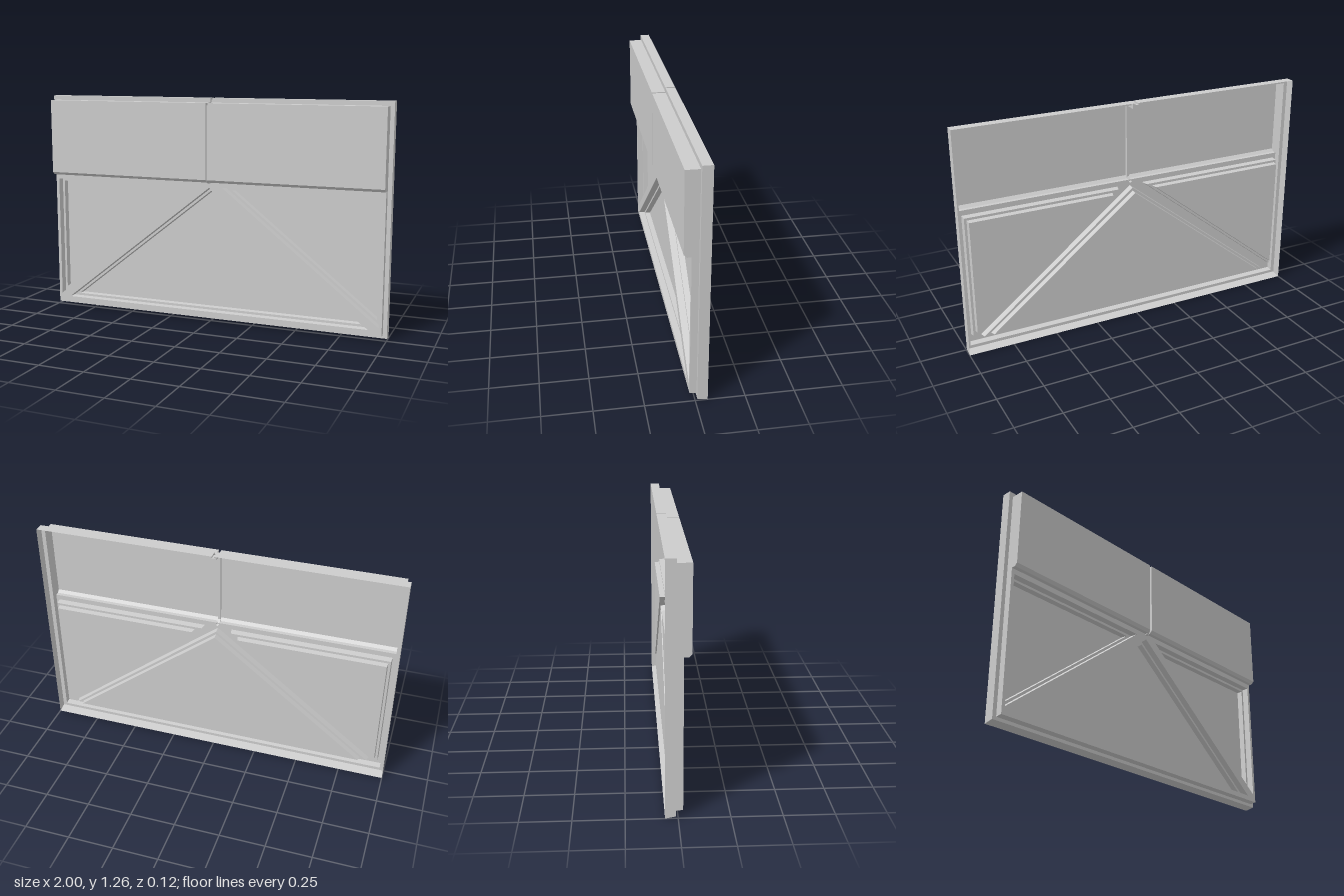
import * as THREE from 'three';

const material = new THREE.MeshStandardMaterial({ color: 0xcccccc, side: THREE.DoubleSide });

// Levels of the pressed sheet, back to front
const BACK = -0.062, FLOOR = -0.04, LEDGE = -0.01, FACE = 0.025, FRONT = 0.062;
const OUT = 1, IN = 0.978, GAP = 0.007;

export function createModel() {
  const group = new THREE.Group();

  function add(name, geometry) {
    const mesh = new THREE.Mesh(geometry, material);
    mesh.name = name;
    group.add(mesh);
    return mesh;
  }

  // Strip of flat quads joining two rows of [x, y, z] points
  function strip(name, a, b) {
    const pos = [];
    for (let i = 0; i < a.length - 1; i++) {
      pos.push(...a[i], ...b[i], ...b[i + 1], ...a[i], ...b[i + 1], ...a[i + 1]);
    }
    const g = new THREE.BufferGeometry();
    g.setAttribute('position', new THREE.Float32BufferAttribute(pos, 3));
    g.computeVertexNormals();
    return add(name, g);
  }

  // Sweep a [y, z] profile along x
  const at = (profile, x) => profile.map(([y, z]) => [x, y, z]);
  const sweep = (name, profile, x0, x1) => strip(name, at(profile, x0), at(profile, x1));

  const shapeOf = pts => new THREE.Shape(pts.map(p => new THREE.Vector2(...p)));
  function plate(name, pts, z, holes = []) {
    const shape = shapeOf(pts);
    shape.holes = holes.map(shapeOf);
    add(name, new THREE.ShapeGeometry(shape)).position.z = z;
  }

  // Move every edge of a counter-clockwise polygon inward by d
  function inset(pts, d) {
    const n = pts.length;
    return pts.map((p, i) => {
      const a = pts[(i + n - 1) % n], b = pts[(i + 1) % n];
      const u = new THREE.Vector2(p[0] - a[0], p[1] - a[1]).normalize();
      const v = new THREE.Vector2(b[0] - p[0], b[1] - p[1]).normalize();
      const k = d / u.cross(v);
      return [p[0] + (v.x - u.x) * k, p[1] + (v.y - u.y) * k];
    });
  }

  // Top skirt and projecting upper panel, in two halves
  const topSkirt = [[1.26, BACK], [1.26, LEDGE], [1.235, LEDGE]];
  const upper = [[1.235, LEDGE], [1.235, FRONT], [0.815, FRONT], [0.8, 0.047], [0.8, FACE]];
  for (const s of [-1, 1]) {
    sweep('topSkirt', topSkirt, s * GAP, s * OUT);
    sweep('upperPanel', upper, s * GAP, s * IN);
  }

  // Groove dividing the upper panel, ending in a small tab behind the frame
  const lip = [...topSkirt, ...upper.slice(1)];
  const floor = [[1.25, BACK], [1.25, -0.025], [1.22, -0.025], [1.22, 0.047],
    [0.812, 0.047], [0.795, 0.033], [0.788, 0.012]];
  sweep('grooveFloor', floor, -GAP, GAP);
  for (const s of [-1, 1]) strip('grooveWall', at(lip, s * GAP), at(floor, s * GAP));

  // Bottom skirt and lower edge of the frame
  sweep('bottomSkirt', [[0, BACK], [0.01, LEDGE], [0.027, LEDGE]], -OUT, OUT);
  sweep('frameBottomEdge', [[0.027, LEDGE], [0.031, FACE]], -IN, IN);

  // Side skirts, ledges and raised side walls
  for (const s of [-1, 1]) {
    strip('sideSkirt', [[s * OUT, 0, BACK], [s * OUT, 1.26, BACK]],
      [[s * OUT, 0.01, LEDGE], [s * OUT, 1.26, LEDGE]]);
    strip('sideLedge', [[s * OUT, 0.027, LEDGE], [s * OUT, 1.235, LEDGE]],
      [[s * IN, 0.027, LEDGE], [s * IN, 1.235, LEDGE]]);
    strip('lowerSideWall', [[s * IN, 0.027, LEDGE], [s * IN, 0.8, LEDGE]],
      [[s * IN, 0.031, FACE], [s * IN, 0.8, FACE]]);
    strip('upperSideWall',
      [[s * IN, 0.8, LEDGE], [s * IN, 0.815, LEDGE], [s * IN, 1.235, LEDGE]],
      [[s * IN, 0.8, 0.047], [s * IN, 0.815, FRONT], [s * IN, 1.235, FRONT]]);
  }

  // Lower frame with three triangular openings
  const left = [[0.96, 0.075], [0.96, 0.772], [0.077, 0.772]];
  const right = left.map(([x, y]) => [-x, y]).reverse();
  const centre = [[-0.905, 0.058], [0.905, 0.058], [0, 0.768]];
  const openings = { left, right, centre };
  plate('lowerFrame', [[-IN, 0.031], [IN, 0.031], [IN, 0.8], [-IN, 0.8]], FACE,
    Object.values(openings));

  // Each opening steps down twice to a deeply recessed panel
  for (const [side, tri] of Object.entries(openings)) {
    const rings = [[tri, FACE], [inset(tri, 0.003), LEDGE], [inset(tri, 0.016), LEDGE],
      [inset(tri, 0.019), FLOOR]];
    const loops = rings.map(([pts, z]) => [...pts, pts[0]].map(([x, y]) => [x, y, z]));
    for (let i = 0; i < 3; i++) strip(side + 'PanelStep', loops[i], loops[i + 1]);
    plate(side + 'Panel', rings[3][0], FLOOR);
  }

  return group;
}
